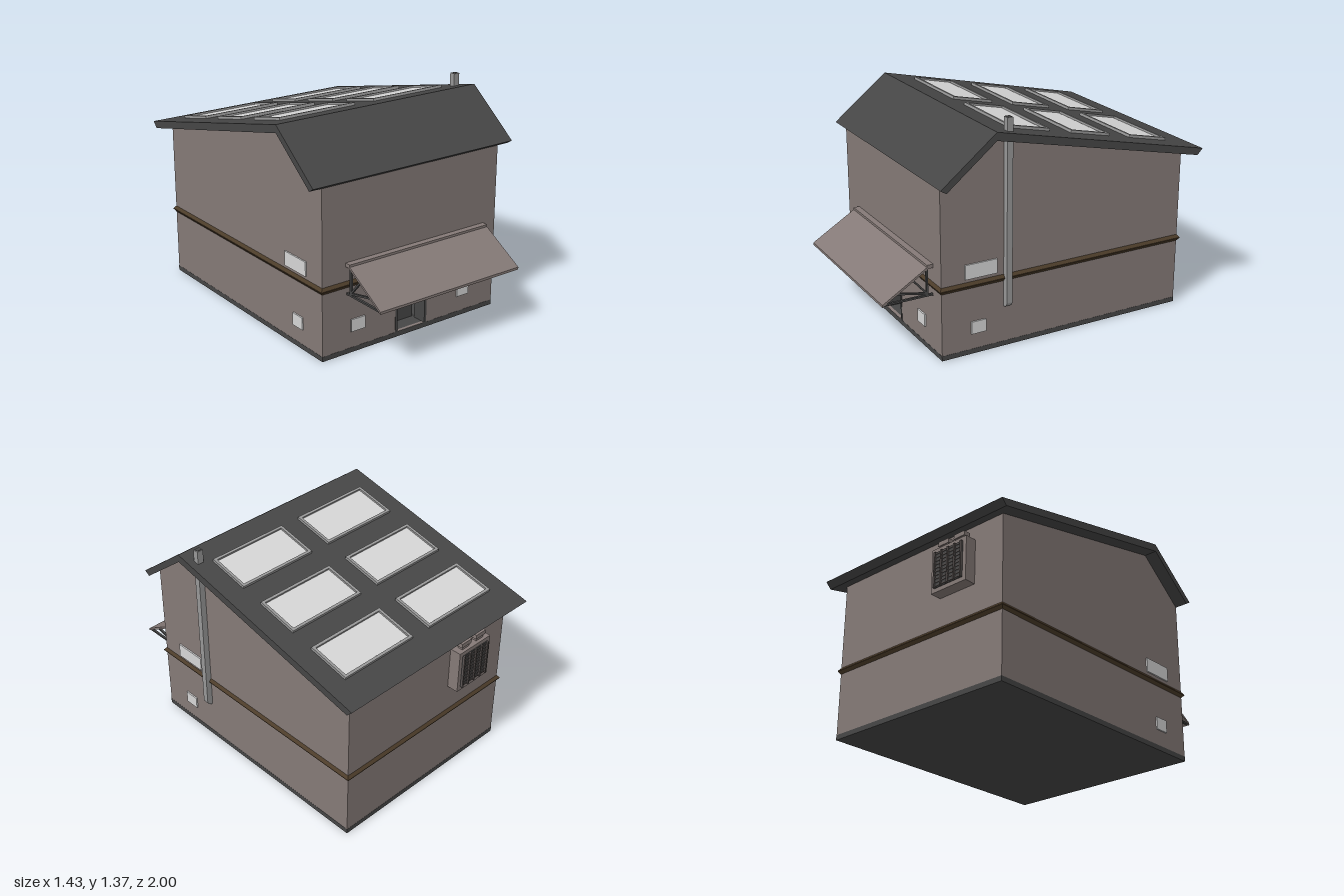
import * as THREE from 'three';

const mat = (name, color) => {
  const m = new THREE.MeshStandardMaterial({ color });
  m.name = name;
  return m;
};

export function createModel() {
  const wall = mat('wall', 0x857a77);
  const dark = mat('charcoal', 0x464646);
  const metal = mat('greyMetal', 0x989898);
  const glass = mat('paleGlass', 0xd6d6d6);
  const brown = mat('brownTrim', 0x4d3d2a);
  const grille = mat('grille', 0x5c5553);
  const root = new THREE.Group();

  const add = (name, geo, m, parent = root) => {
    const mesh = new THREE.Mesh(geo, m);
    mesh.name = name;
    parent.add(mesh);
    return mesh;
  };
  // box from its limits
  const box = (name, m, x0, x1, y0, y1, z0, z1, parent = root) => {
    const mesh = add(name, new THREE.BoxGeometry(x1 - x0, y1 - y0, z1 - z0), m, parent);
    mesh.position.set((x0 + x1) / 2, (y0 + y1) / 2, (z0 + z1) / 2);
    return mesh;
  };
  const poly = (pts) => new THREE.Shape(pts.map(([x, y]) => new THREE.Vector2(x, y)));
  const rect = (x0, x1, y0, y1) => poly([[x0, y0], [x1, y0], [x1, y1], [x0, y1]]);
  const extrude = (shape, depth) =>
    new THREE.ExtrudeGeometry(shape, { depth, bevelEnabled: false, curveSegments: 8 });
  // side profile of [z, y] points, carried from x0 to x1
  const profile = (name, m, pts, x0, x1, parent = root) => {
    const geo = extrude(poly(pts.map(([z, y]) => [-z, y])), x1 - x0);
    return add(name, geo.rotateY(Math.PI / 2).translate(x0, 0, 0), m, parent);
  };

  const W = 0.633, F = 0.69, B = -0.905, T = 0.02;

  // walls, hollow inside
  const gable = [[F, 0.03], [F, 1.03], [0.385, 1.27], [B, 0.985], [B, 0.03]];
  profile('rightGableWall', wall, gable, -W, -W + T);
  profile('leftGableWall', wall, gable, W - T, W);
  box('backWall', wall, -W + T, W - T, 0.03, 0.985, B, B + T);
  const front = rect(-W + T, W - T, 0.03, 1.03);
  front.holes.push(rect(-0.118, 0.115, 0.031, 0.21));
  add('frontWall', extrude(front, T).translate(0, 0, F - T), wall);
  box('base', dark, -W - 0.001, W + 0.001, 0, 0.03, B - 0.001, F + 0.001);

  // roof with a short front slope and a long back slope
  profile('roof', dark, [[0.725, 1.04], [0.385, 1.31], [-1, 1.0], [-0.965, 0.963],
    [0.385, 1.262], [0.69, 1.018]], -0.713, 0.713);

  // roof panels
  const slope = 0.31 / 1.385;
  const frame = rect(-0.26, 0.26, -0.133, 0.133);
  frame.holes.push(rect(-0.243, 0.243, -0.116, 0.116));
  const frameGeo = extrude(frame, 0.016).rotateX(-Math.PI / 2);
  for (const x of [-0.33, 0.323]) for (const z of [-0.69, -0.29, 0.11]) {
    const panel = new THREE.Group();
    panel.name = 'roofPanel';
    panel.position.set(x, 1.31 + (z - 0.385) * slope, z);
    panel.rotation.x = -Math.atan(slope);
    add('panelFrame', frameGeo, metal, panel);
    box('panelGlass', glass, -0.243, 0.243, 0, 0.005, -0.11, 0.116, panel);
    root.add(panel);
  }

  // belt around the house, with a pointed edge
  const belt = new THREE.ExtrudeGeometry(rect(-W, W, -F, -B), {
    depth: 0.004, bevelThickness: 0.018, bevelSize: 0.014, bevelSegments: 1 });
  add('beltTrim', belt.rotateX(-Math.PI / 2).translate(0, 0.423, 0), brown);

  // windows
  box('frontWindow', glass, -0.435, -0.342, 0.13, 0.205, F, F + 0.009);
  box('frontWindowEdge', metal, -0.441, -0.435, 0.13, 0.205, F, F + 0.009);
  box('frontWindow', glass, 0.345, 0.435, 0.13, 0.205, F, F + 0.009);
  for (const s of [-1, 1]) {
    const a = s > 0 ? W : -W - 0.009;
    box('smallSideWindow', glass, a, a + 0.009, 0.125, 0.2, 0.415, 0.507);
    box('largeSideWindow', glass, a, a + 0.009, 0.465, 0.552, 0.343, 0.545);
  }

  // doorway and what stands behind it
  box('doorJamb', dark, -0.118, -0.103, 0.03, 0.21, 0.6, F + 0.002);
  box('doorJamb', dark, 0.1, 0.115, 0.03, 0.21, 0.6, F + 0.002);
  box('doorLintel', dark, -0.118, 0.115, 0.205, 0.21, 0.6, F + 0.002);
  box('counter', dark, -0.103, 0.1, 0.03, 0.105, 0.55, 0.58);
  box('bench', metal, -0.08, 0.08, 0.03, 0.12, 0.38, 0.45);
  box('tableTop', brown, -0.2, 0.2, 0.16, 0.17, 0.1, 0.3);
  for (const x of [-0.085, -0.015, 0.055]) {
    const leg = new THREE.QuadraticBezierCurve3(new THREE.Vector3(x, 0.03, 0.28),
      new THREE.Vector3(x, 0.15, 0.28), new THREE.Vector3(x + 0.03, 0.163, 0.28));
    add('tableLeg', new THREE.TubeGeometry(leg, 8, 0.004, 6), brown);
  }

  // awning on two trusses
  profile('awningSheet', wall, [[0.72, 0.546], [1, 0.377], [1, 0.362], [0.72, 0.531]], -0.475, 0.54);
  box('awningRail', wall, -0.475, 0.54, 0.533, 0.555, F, 0.728);
  const bars = [[F, 0.37, 0.99, 0.37], [0.725, 0.37, 0.725, 0.535],
    [0.725, 0.38, 0.81, 0.478], [0.725, 0.38, 0.91, 0.42]];
  for (const x of [-0.462, 0.527]) {
    const truss = new THREE.Group();
    truss.name = 'awningTruss';
    for (const [z0, y0, z1, y1] of bars) {
      const bar = add('trussBar',
        new THREE.BoxGeometry(0.014, 0.011, Math.hypot(z1 - z0, y1 - y0)), dark, truss);
      bar.position.set(x, (y0 + y1) / 2, (z0 + z1) / 2);
      bar.rotation.x = -Math.atan2(y1 - y0, z1 - z0);
    }
    root.add(truss);
  }

  // flue pipe, rounded into the wall at the foot
  const flue = new THREE.Shape();
  flue.moveTo(0.63, 0.25);
  flue.lineTo(0.637, 0.25);
  flue.absarc(0.637, 0.283, 0.033, -Math.PI / 2, 0, false);
  flue.lineTo(0.67, 1.365);
  flue.lineTo(0.63, 1.365);
  add('fluePipe', extrude(flue, 0.036).translate(0, 0, 0.262), metal);
  box('flueMouth', dark, 0.635, 0.665, 1.364, 1.367, 0.267, 0.293);

  // cooling unit on the back wall
  const unit = new THREE.Group();
  unit.name = 'coolingUnit';
  box('unitCase', wall, -0.43, -0.17, 0.62, 0.89, -0.975, B, unit);
  box('unitGrille', dark, -0.405, -0.195, 0.645, 0.865, -0.98, -0.975, unit);
  for (let i = 0; i < 5; i++) {
    const x = -0.4 + i * 0.05;
    box('grilleBar', grille, x - 0.005, x + 0.005, 0.645, 0.865, -0.99, -0.98, unit);
  }
  for (let i = 0; i < 10; i++) {
    const y = 0.655 + i * 0.022;
    box('grilleSlat', grille, -0.405, -0.195, y - 0.003, y + 0.003, -0.984, -0.98, unit);
  }
  for (const x of [-0.36, -0.24]) {
    box('unitNeck', wall, x - 0.03, x + 0.03, 0.89, 0.91, -0.955, -0.925, unit);
    box('unitCap', wall, x - 0.04, x + 0.04, 0.91, 0.937, -0.962, -0.92, unit);
  }
  root.add(unit);

  return root;
}
